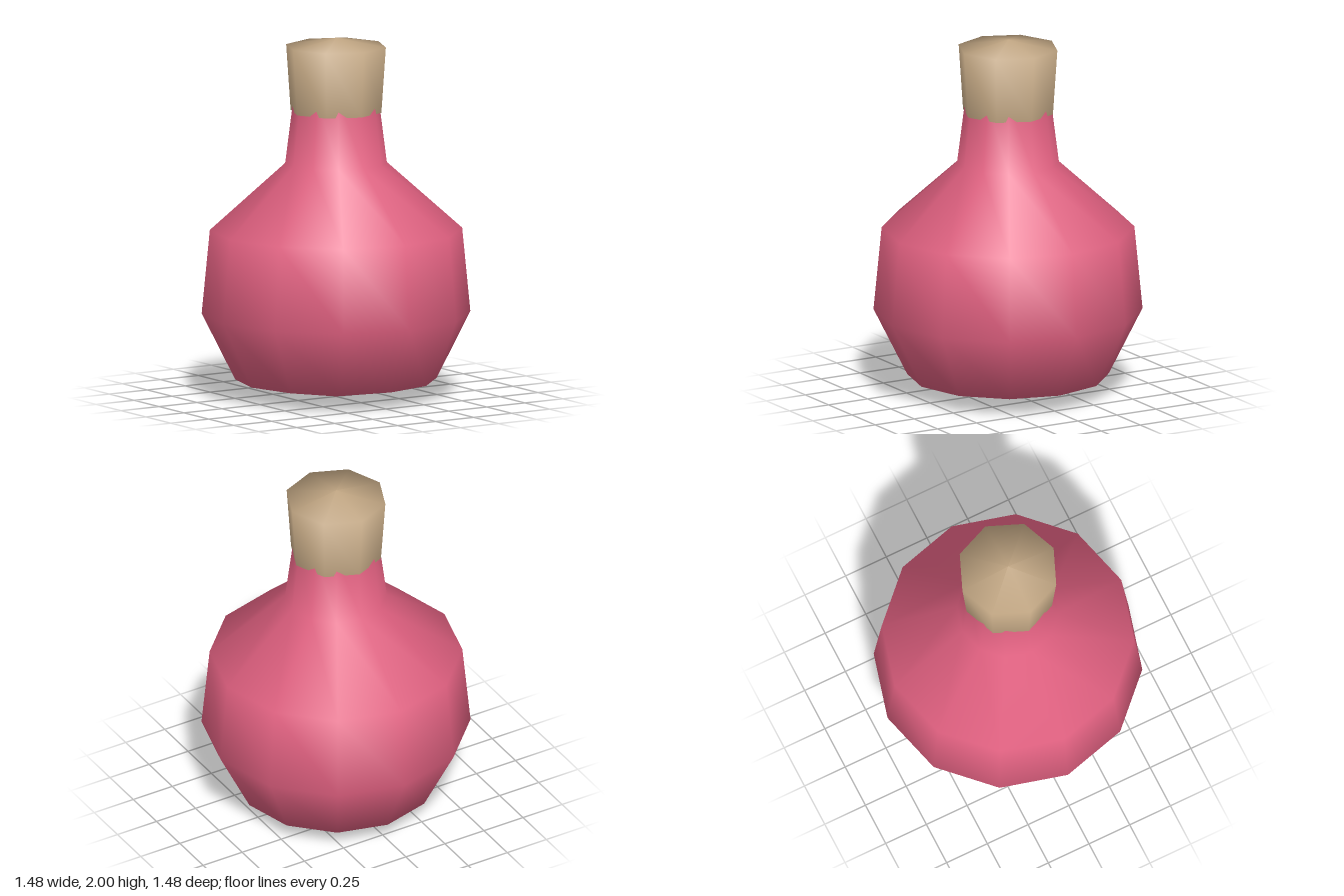
import * as THREE from 'three';

export function createModel() {
  const model = new THREE.Group();
  model.name = 'corkedFlask';

  const pink = new THREE.MeshStandardMaterial({ color: 0xe06080 });
  pink.name = 'pink';
  const tan = new THREE.MeshStandardMaterial({ color: 0xc0a582 });
  tan.name = 'corkTan';

  const add = (name, geometry, material) => {
    const mesh = new THREE.Mesh(geometry, material);
    mesh.name = name;
    model.add(mesh);
    return mesh;
  };
  // Smooth-shaded turned part from [radius, height] pairs, bottom to top
  const turned = (profile, sides) =>
    new THREE.LatheGeometry(profile.map(([r, y]) => new THREE.Vector2(r, y)), sides);

  // Twelve-sided flask: shallow pointed base, belly, shoulder and neck running into the cork
  add('flask', turned([
    [0, 0], [0.555, 0.1], [0.74, 0.47], [0.695, 0.935], [0.28, 1.305], [0.23, 1.7],
  ], 12), pink);

  // Eight-sided cork, wider at the top, with a low pointed crown
  add('cork', turned([[0.255, 1.59], [0.28, 1.955], [0, 2]], 8), tan);

  // Underside of the cork
  const underside = add('corkUnderside', new THREE.CircleGeometry(0.255, 8), tan);
  underside.rotation.x = Math.PI / 2;
  underside.position.y = 1.59;

  return model;
}
